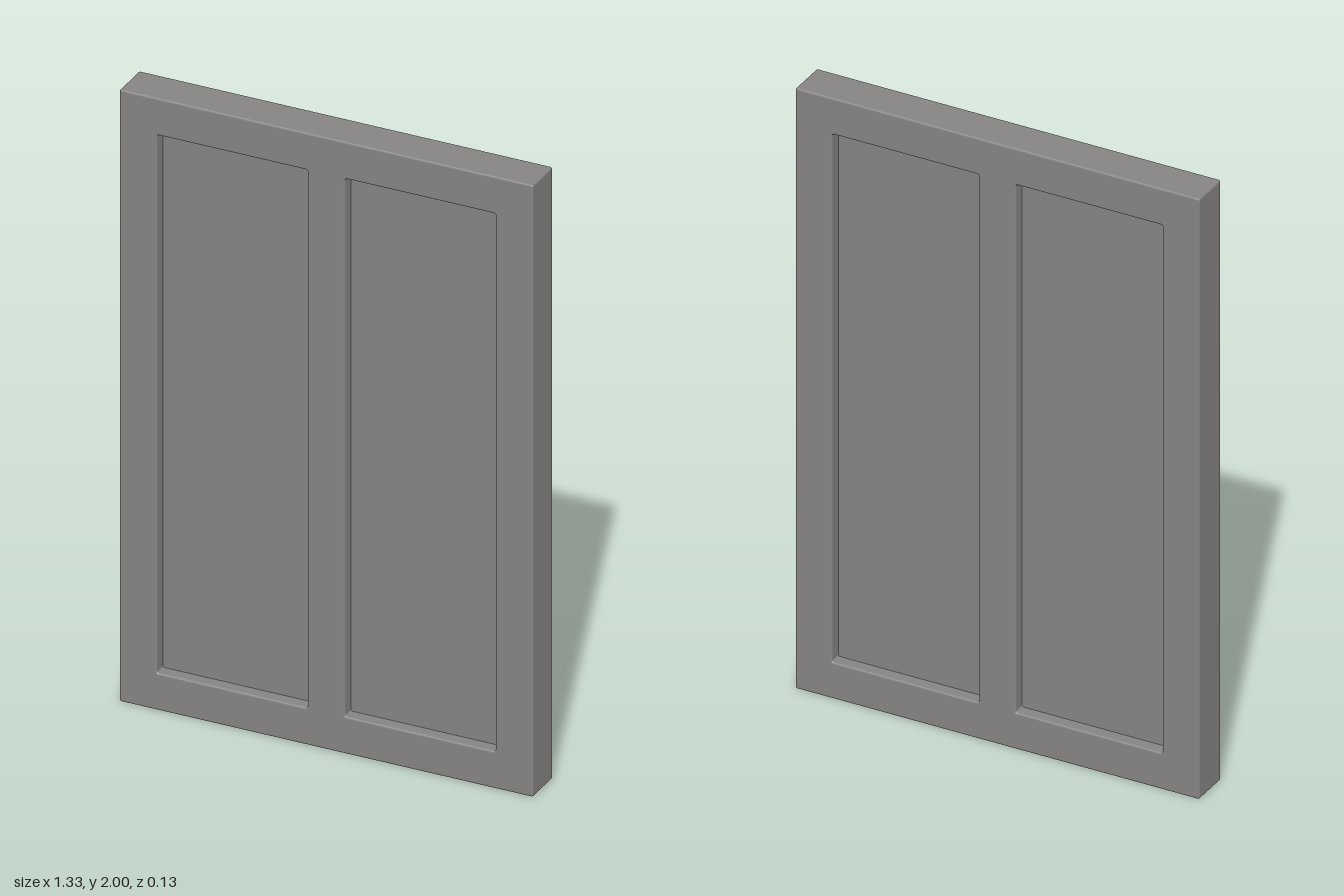
import * as THREE from 'three';

const WIDTH = 1.33, HEIGHT = 2, DEPTH = 0.13;
const RAIL = 0.121;       // width of stiles, rails and the middle mullion
const PANEL_DEPTH = 0.05; // thickness of the recessed panels
const BEVEL = 0.006, CORNER = 0.007;

// Rounded rectangle traced counter-clockwise on a Shape or Path
function roundedRect(path, x0, y0, x1, y1, r) {
  path.moveTo(x0 + r, y0);
  path.lineTo(x1 - r, y0);
  path.absarc(x1 - r, y0 + r, r, -Math.PI / 2, 0);
  path.lineTo(x1, y1 - r);
  path.absarc(x1 - r, y1 - r, r, 0, Math.PI / 2);
  path.lineTo(x0 + r, y1);
  path.absarc(x0 + r, y1 - r, r, Math.PI / 2, Math.PI);
  path.lineTo(x0, y0 + r);
  path.absarc(x0 + r, y0 + r, r, Math.PI, Math.PI * 1.5);
  return path;
}

export function createModel() {
  const group = new THREE.Group();
  group.name = 'panelledShutter';
  const material = new THREE.MeshStandardMaterial({ color: 0x868482 });

  const openW = (WIDTH - 3 * RAIL) / 2;
  const openH = HEIGHT - 2 * RAIL;
  const openX = (openW + RAIL) / 2;

  // Frame with two tall openings; broad faces stay flat, edges are finely bevelled
  const outline = roundedRect(new THREE.Shape(), -WIDTH / 2, 0, WIDTH / 2, HEIGHT, CORNER);
  for (const side of [-1, 1]) {
    const cx = side * openX;
    outline.holes.push(roundedRect(new THREE.Path(),
      cx - openW / 2, RAIL, cx + openW / 2, HEIGHT - RAIL, CORNER));
  }
  const frameGeometry = new THREE.ExtrudeGeometry(outline, {
    depth: DEPTH - 2 * BEVEL, curveSegments: 4,
    bevelThickness: BEVEL, bevelSize: BEVEL, bevelOffset: -BEVEL, bevelSegments: 3,
  });
  frameGeometry.translate(0, 0, -(DEPTH / 2 - BEVEL));
  const frame = new THREE.Mesh(frameGeometry, material);
  frame.name = 'frame';
  group.add(frame);

  // Flat panels, recessed on both faces and let slightly into the frame
  for (const side of [-1, 1]) {
    const panel = new THREE.Mesh(
      new THREE.BoxGeometry(openW + 0.02, openH + 0.02, PANEL_DEPTH), material);
    panel.name = side > 0 ? 'leftPanel' : 'rightPanel';
    panel.position.set(side * openX, HEIGHT / 2, 0);
    group.add(panel);
  }
  return group;
}
